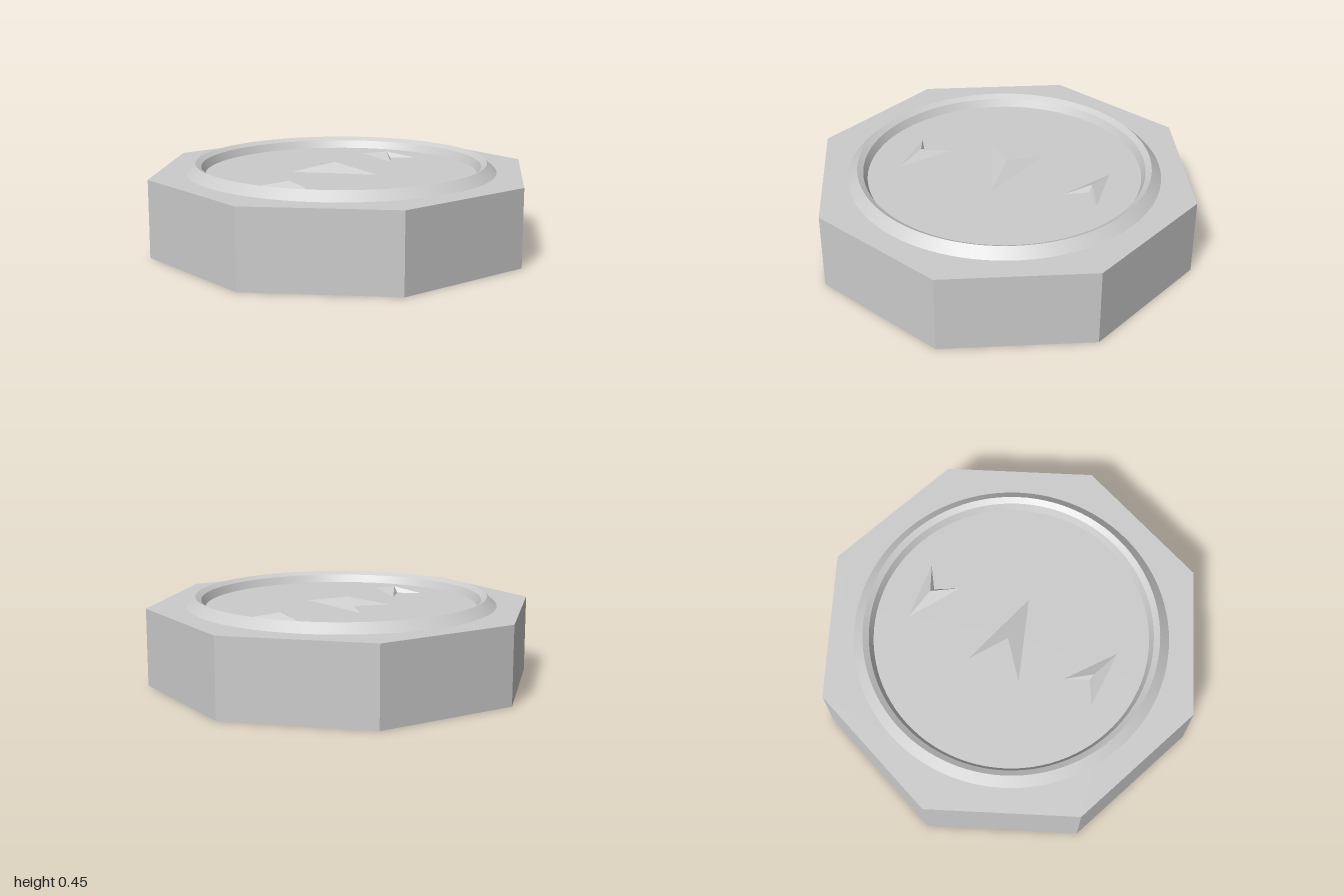
import * as THREE from 'three';

export function createModel() {
  const group = new THREE.Group();
  const grey = new THREE.MeshStandardMaterial({ color: 0xcccccc });
  grey.name = 'light grey';
  const TOP = 0.4, FLOOR = 0.39;

  const add = (name, geometry, y = 0) => {
    const mesh = new THREE.Mesh(geometry, grey);
    mesh.name = name;
    mesh.position.y = y;
    group.add(mesh);
    return mesh;
  };

  // Octagonal body: sides, underside and top face with a round opening
  const sides = new THREE.CylinderGeometry(1, 1, TOP, 8, 1, true).toNonIndexed();
  sides.computeVertexNormals();
  add('bodySides', sides, TOP / 2);
  add('bodyUnderside', new THREE.CircleGeometry(1, 8).rotateX(Math.PI / 2));

  const octagon = new THREE.Shape(Array.from({ length: 8 }, (_, i) =>
    new THREE.Vector2(Math.cos(i * Math.PI / 4), Math.sin(i * Math.PI / 4))));
  octagon.holes.push(new THREE.Path().absarc(0, 0, 0.8, 0, Math.PI * 2, true));
  add('bodyTop', new THREE.ShapeGeometry(octagon, 48).rotateX(-Math.PI / 2), TOP);

  // Raised ring: one band per profile segment keeps its edges crisp
  const profile = [[0.8, TOP], [0.75, 0.447], [0.72, 0.43], [0.7, FLOOR]]
    .map(([r, y]) => new THREE.Vector2(r, y));
  for (let i = 0; i < profile.length - 1; i++) {
    add('ringBand' + (i + 1), new THREE.LatheGeometry([profile[i], profile[i + 1]], 96));
  }

  // Recessed round floor inside the ring
  add('floor', new THREE.CircleGeometry(0.7, 96).rotateX(-Math.PI / 2), FLOOR);

  // Faceted arrowheads: a notched outline rising to one peak
  const peak = [-0.04, 0.045, 0], tip = [0.21, 0, 0], notch = [-0.08, 0, 0];
  const far = [-0.21, 0, -0.14], near = [-0.21, 0, 0.14];
  const faces = [peak, near, tip, peak, tip, far, peak, far, notch, peak, notch, near];
  const arrow = new THREE.BufferGeometry();
  arrow.setAttribute('position', new THREE.Float32BufferAttribute(faces.flat(), 3));
  arrow.computeVertexNormals();

  const placements = [
    ['centreArrow', 0, 0, 1],
    ['backArrow', -0.48, 2.88, 0.69],
    ['frontArrow', 0.48, -0.35, 0.69],
  ];
  for (const [name, z, turn, scale] of placements) {
    const mesh = add(name, arrow, FLOOR);
    mesh.position.z = z;
    mesh.rotation.y = turn;
    mesh.scale.setScalar(scale);
  }
  return group;
}
